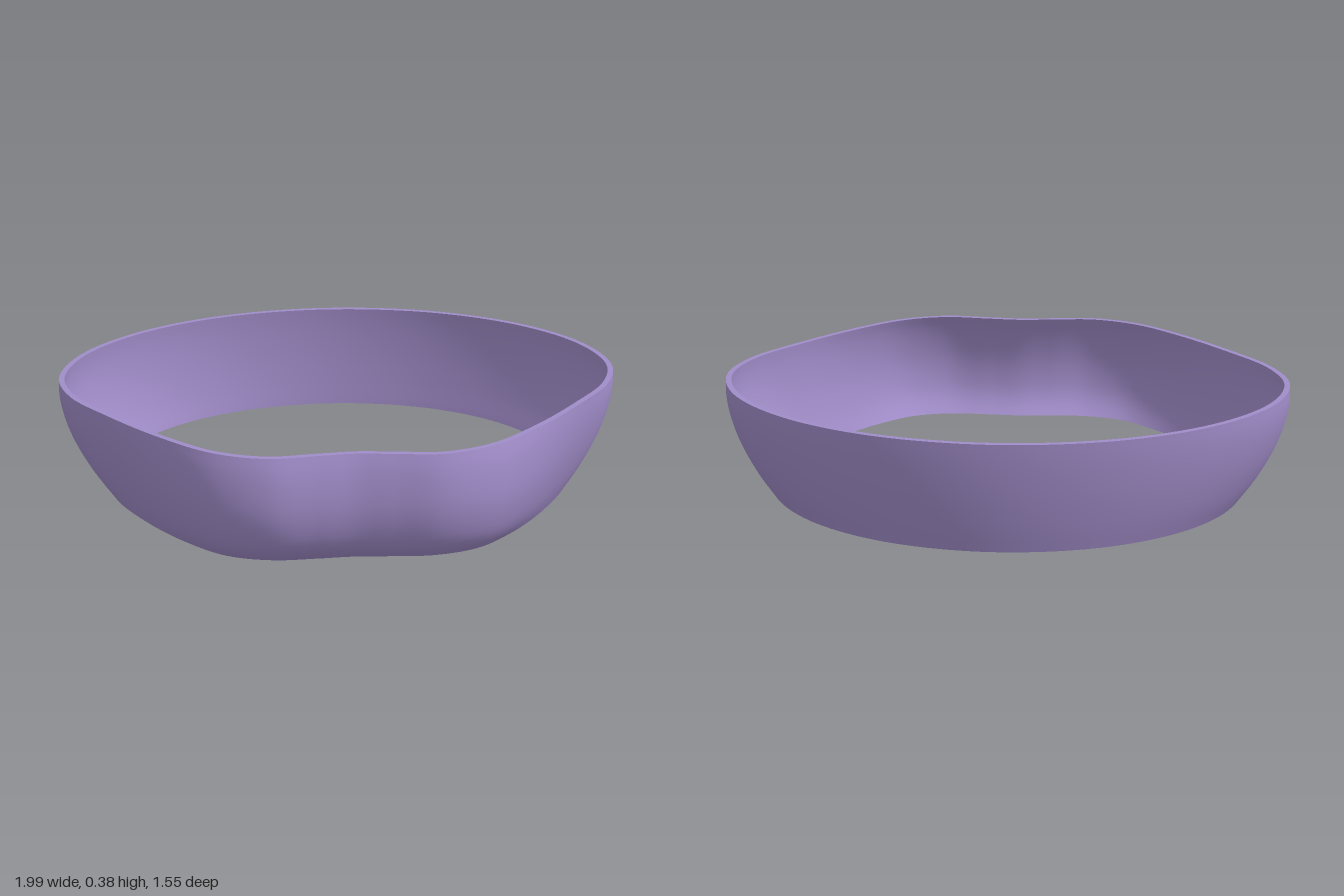
import * as THREE from 'three';
import { toCreasedNormals } from 'three/addons/utils/BufferGeometryUtils.js';

// Half outlines (x, z) from the middle of the back to the middle of the front
const BASE = [[0, -0.735], [0.35, -0.675], [0.62, -0.52], [0.785, -0.31], [0.845, -0.07], [0.8, 0.15],
  [0.69, 0.35], [0.555, 0.52], [0.42, 0.635], [0.27, 0.68], [0.12, 0.678], [0, 0.672]];
const RIM = [[0, -0.772], [0.4, -0.708], [0.72, -0.54], [0.925, -0.31], [0.995, -0.07], [0.945, 0.13],
  [0.81, 0.32], [0.63, 0.525], [0.46, 0.67], [0.29, 0.73], [0.12, 0.718], [0, 0.708]];

// Wall profile: x = blend from base to rim outline, y = height, z = forward bulge at the front
const WALL = new THREE.CatmullRomCurve3([
  [0, 0, 0], [0.1, 0.02, 0.02], [0.25, 0.05, 0.041], [0.47, 0.1, 0.056], [0.8, 0.2, 0.055],
  [0.97, 0.29, 0.035], [1.01, 0.345, 0.017], [1, 0.385, 0],
].map((p) => new THREE.Vector3(...p)));

const SEGMENTS = 176;
const LEVELS = 18;

// Closed, mirrored outline curve
function outline(half) {
  const mirrored = half.slice(1, -1).reverse().map(([x, z]) => [-x, z]);
  return new THREE.CatmullRomCurve3(
    [...half, ...mirrored].map(([x, z]) => new THREE.Vector3(x, 0, z)), true);
}

// One horizontal ring of the wall, moved inwards by the given inset
function ring(base, rim, t, inset) {
  const { x: blend, y, z: bulge } = WALL.getPoint(t);
  const pts = [];
  for (let j = 0; j < SEGMENTS; j++) {
    const p = base.getPoint(j / SEGMENTS).lerp(rim.getPoint(j / SEGMENTS), blend);
    p.z += bulge * THREE.MathUtils.smoothstep(p.z, 0.25, 0.68);
    p.y = y;
    pts.push(p);
  }
  return pts.map((p, j) => {
    const a = pts[(j + SEGMENTS - 1) % SEGMENTS];
    const b = pts[(j + 1) % SEGMENTS];
    const d = b.clone().sub(a).normalize();
    return new THREE.Vector3(p.x - d.z * inset, p.y, p.z + d.x * inset);
  });
}

function bandGeometry() {
  const base = outline(BASE);
  const rim = outline(RIM);
  const rings = [];
  // Outside going up, then inside going down
  for (let i = 0; i <= LEVELS; i++) rings.push(ring(base, rim, i / LEVELS, 0));
  for (let i = LEVELS; i >= 0; i--) rings.push(ring(base, rim, i / LEVELS, 0.012 + 0.008 * i / LEVELS));

  const index = [];
  const at = (i, j) => (i % rings.length) * SEGMENTS + (j % SEGMENTS);
  for (let i = 0; i < rings.length; i++) {
    for (let j = 0; j < SEGMENTS; j++) {
      index.push(at(i, j), at(i + 1, j), at(i, j + 1));
      index.push(at(i + 1, j), at(i + 1, j + 1), at(i, j + 1));
    }
  }
  const geometry = new THREE.BufferGeometry().setFromPoints(rings.flat());
  geometry.setIndex(index);
  return toCreasedNormals(geometry, 0.6);
}

export function createModel() {
  const group = new THREE.Group();
  group.name = 'curvedBand';
  const band = new THREE.Mesh(bandGeometry(), new THREE.MeshStandardMaterial({ color: 0xa08cc8 }));
  band.name = 'bandWall';
  group.add(band);
  return group;
}
